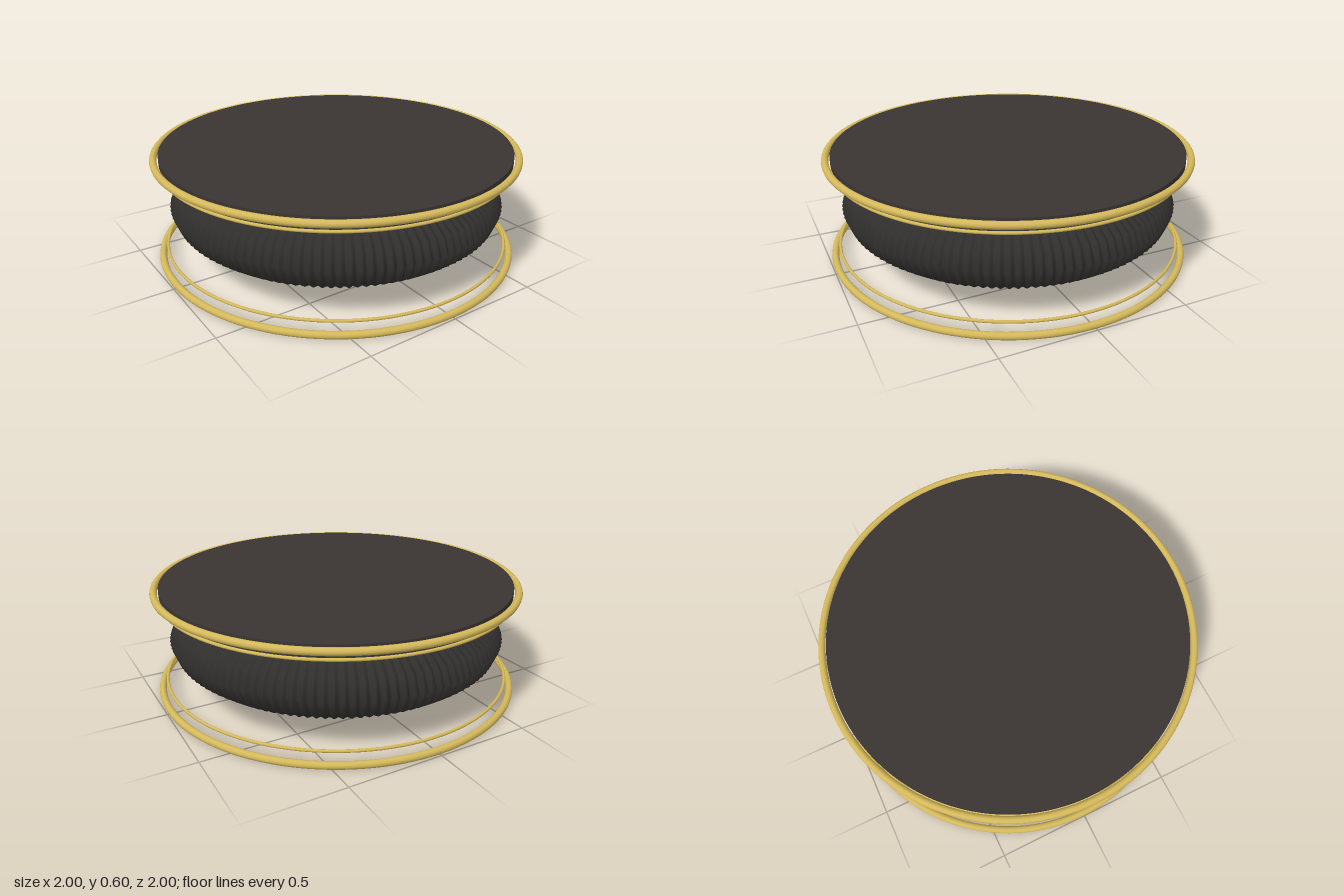
import * as THREE from 'three';

const gold = new THREE.MeshStandardMaterial({ color: 0xd4b85a });
const fabric = new THREE.MeshStandardMaterial({ color: 0x302f2d });
const topDark = new THREE.MeshStandardMaterial({ color: 0x3a3533 });

function add(group, name, geometry, material, y = 0) {
  const mesh = new THREE.Mesh(geometry, material);
  mesh.name = name;
  mesh.position.y = y;
  group.add(mesh);
}

// Horizontal hoop lying in the xz plane
function hoop(radius, tube) {
  return new THREE.TorusGeometry(radius, tube, 12, 128).rotateX(Math.PI / 2);
}

// Squashed cushion with fine radial pleats
function pleatedCushion(pleats, depth) {
  const upper = [[0.92, 0], [0.887, 0.083], [0.8, 0.147], [0.6, 0.202], [0.37, 0.237], [0.18, 0.257], [0, 0.265]];
  const lower = upper.slice(1).reverse().map(([r, y]) => [r, -y]);
  const profile = [...lower, ...upper].map(([r, y]) => new THREE.Vector2(r, y));
  const geometry = new THREE.LatheGeometry(profile, pleats * 6);
  const p = geometry.attributes.position;
  for (let i = 0; i < p.count; i++) {
    const angle = Math.atan2(p.getX(i), p.getZ(i));
    const k = 1 - depth * (0.5 - 0.5 * Math.cos(angle * pleats));
    p.setX(i, p.getX(i) * k);
    p.setZ(i, p.getZ(i) * k);
  }
  geometry.computeVertexNormals();
  return geometry;
}

export function createModel() {
  const group = new THREE.Group();
  group.name = 'pleatedOttoman';

  add(group, 'cushion', pleatedCushion(120, 0.022), fabric, 0.3);
  add(group, 'topPanel', new THREE.CylinderGeometry(0.955, 0.955, 0.035, 128), topDark, 0.5825);

  // Thick outer and thin inner hoops, at the bottom and the top
  for (const [label, outerY, innerY] of [['bottom', 0.02, 0.075], ['top', 0.578, 0.526]]) {
    add(group, label + 'OuterHoop', hoop(0.981, 0.019), gold, outerY);
    add(group, label + 'InnerHoop', hoop(0.95, 0.008), gold, innerY);
  }
  return group;
}
